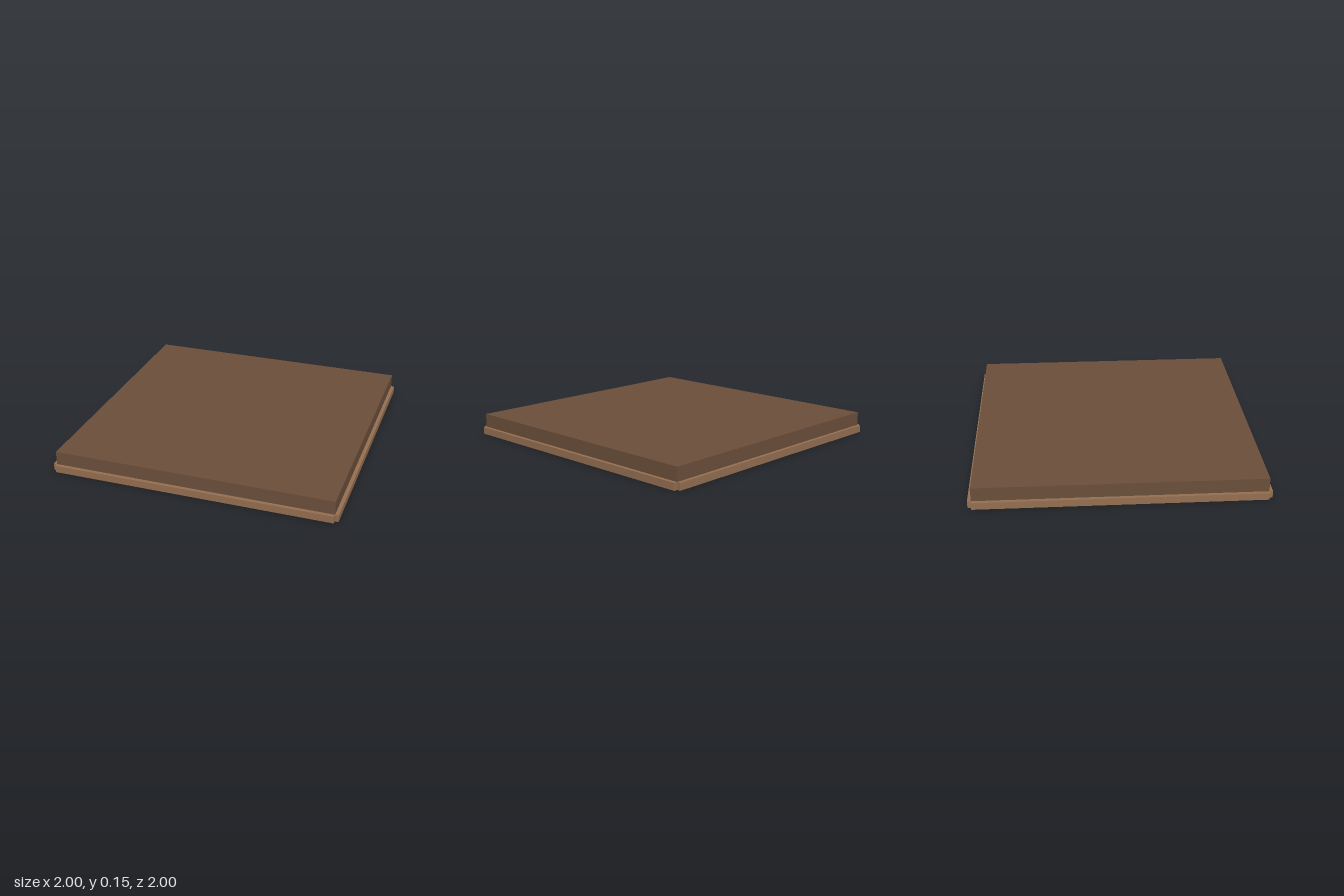
import * as THREE from 'three';

export function createModel() {
  const model = new THREE.Group();
  model.name = 'cofferedCeiling';

  const mat = (name, color) => {
    const m = new THREE.MeshStandardMaterial({ color });
    m.name = name;
    return m;
  };
  const slabWood = mat('slabBrown', 0x6b4f3a);
  const beamWood = mat('beamBrown', 0x946e50);
  const plaster = mat('panelGrey', 0xc8bdae);

  const SIDE = 1.95, CELLS = 4, PITCH = SIDE / CELLS;
  const BEAM = 0.05, OPENING = PITCH - BEAM;

  const box = (parent, name, material, w, h, d, x, y, z) => {
    const mesh = new THREE.Mesh(new THREE.BoxGeometry(w, h, d), material);
    mesh.name = name;
    mesh.position.set(x, y, z);
    parent.add(mesh);
  };

  const square = (Type, size, cx = 0, cy = 0) => {
    const h = size / 2, s = new Type();
    s.moveTo(cx - h, cy - h);
    s.lineTo(cx + h, cy - h);
    s.lineTo(cx + h, cy + h);
    s.lineTo(cx - h, cy + h);
    s.closePath();
    return s;
  };

  // Upper slab
  box(model, 'slab', slabWood, SIDE, 0.096, SIDE, 0, 0.098, 0);

  // Outer halves of the edge beams, leaving the corners notched
  for (const s of [-1, 1]) {
    box(model, 'edgeBeam', beamWood, SIDE, BEAM, BEAM / 2, 0, BEAM / 2, s * 0.9875);
    box(model, 'sideEdgeBeam', beamWood, BEAM / 2, BEAM, SIDE, s * 0.9875, BEAM / 2, 0);
  }

  // Beam grid with an opening for every coffer
  const centres = Array.from({ length: CELLS }, (_, i) => (i - (CELLS - 1) / 2) * PITCH);
  const outline = square(THREE.Shape, SIDE);
  for (const x of centres) {
    for (const z of centres) outline.holes.push(square(THREE.Path, OPENING, x, z));
  }
  const gridGeometry = new THREE.ExtrudeGeometry(outline, { depth: BEAM, bevelEnabled: false });
  gridGeometry.rotateX(-Math.PI / 2);
  const grid = new THREE.Mesh(gridGeometry, beamWood);
  grid.name = 'beamGrid';
  model.add(grid);

  // Coffers: recessed panel with a raised centre
  for (const x of centres) {
    for (const z of centres) {
      const coffer = new THREE.Group();
      coffer.name = 'coffer';
      coffer.position.set(x, 0, z);
      box(coffer, 'panel', plaster, OPENING, 0.01, OPENING, 0, 0.045, 0);
      box(coffer, 'raisedPanel', plaster, 0.27, 0.01, 0.27, 0, 0.035, 0);
      model.add(coffer);
    }
  }

  return model;
}
